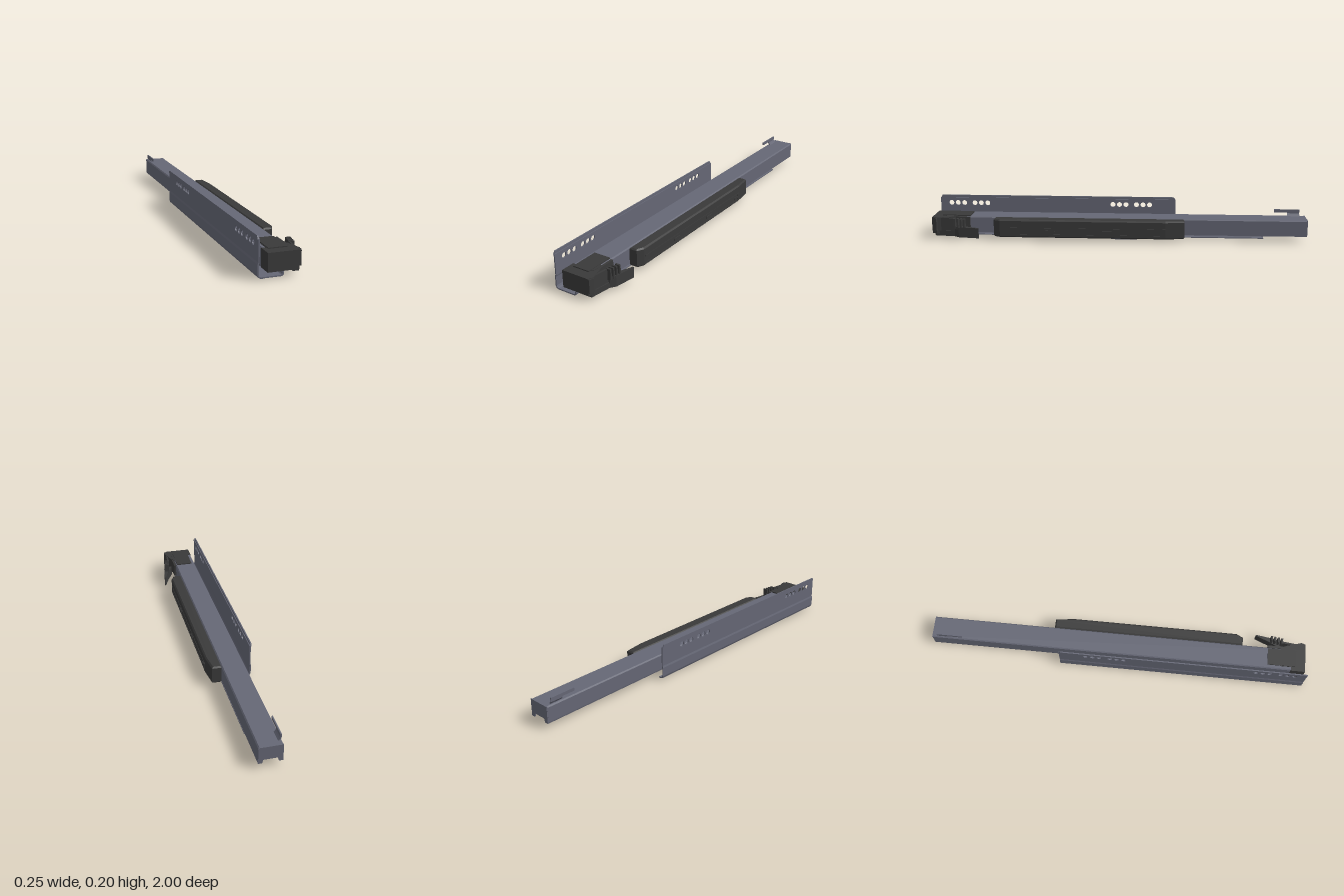
import * as THREE from 'three';

const steel = new THREE.MeshStandardMaterial({ color: 0x656775, side: THREE.DoubleSide });
const plastic = new THREE.MeshStandardMaterial({ color: 0x3a3a3a, flatShading: true });

const shapeOf = (pts) => new THREE.Shape(pts.map(([x, y]) => new THREE.Vector2(x, y)));

// Thickens an open polyline into a closed sheet-metal section (mitred corners)
function sheetSection(pts, t) {
  const v = pts.map(([x, y]) => new THREE.Vector2(x, y));
  const normal = (a, b) => new THREE.Vector2(a.y - b.y, b.x - a.x).normalize();
  const left = [], right = [];
  v.forEach((p, i) => {
    const n0 = normal(v[Math.max(i - 1, 0)], v[Math.max(i, 1)]);
    const n1 = normal(v[Math.min(i, v.length - 2)], v[Math.min(i + 1, v.length - 1)]);
    const m = n0.clone().add(n1).normalize();
    m.multiplyScalar(t / 2 / m.dot(n1));
    left.push(p.clone().add(m));
    right.unshift(p.clone().sub(m));
  });
  return new THREE.Shape([...left, ...right]);
}

function createModel() {
  const root = new THREE.Group();
  root.name = 'drawerRunner';

  const add = (name, geo, mat, parent = root) => {
    const mesh = new THREE.Mesh(geo, mat);
    mesh.name = name;
    parent.add(mesh);
    return mesh;
  };
  const group = (name) => {
    const g = new THREE.Group();
    g.name = name;
    root.add(g);
    return g;
  };
  // Box given by its limits
  const box = (name, [x0, x1], [y0, y1], [z0, z1], mat, parent) =>
    add(name, new THREE.BoxGeometry(x1 - x0, y1 - y0, z1 - z0)
      .translate((x0 + x1) / 2, (y0 + y1) / 2, (z0 + z1) / 2), mat, parent);
  // Section in x,y run along z
  const along = (name, shape, z0, z1, mat, parent) =>
    add(name, new THREE.ExtrudeGeometry(shape, { depth: z1 - z0, bevelEnabled: false })
      .translate(0, 0, z0), mat, parent);
  // Plan outline in x,z raised from y0 to y1
  const plan = (name, pts, y0, y1, mat, parent, bevel = 0) => {
    const geo = new THREE.ExtrudeGeometry(shapeOf(pts.map(([x, z]) => [x, -z])), {
      depth: y1 - y0 - 2 * bevel, bevelEnabled: bevel > 0, bevelSegments: 1,
      bevelSize: bevel, bevelThickness: bevel, bevelOffset: -bevel,
    });
    return add(name, geo.rotateX(-Math.PI / 2).translate(0, y0 + bevel, 0), mat, parent);
  };
  // Side outline in z,y with thickness from x0 to x1
  const side = (name, shape, x0, x1, mat, parent) =>
    add(name, new THREE.ExtrudeGeometry(shape, { depth: x1 - x0, bevelEnabled: false, curveSegments: 8 })
      .rotateY(-Math.PI / 2).scale(1, 1, 1).translate(x1, 0, 0), mat, parent);

  // Cabinet rail: bent foot, perforated wall and joggled top edge
  const cabinet = group('cabinetRail');
  const corner = [[-0.119, 0.08], [-0.122, 0.07], [-0.122, 0.024], [-0.118, 0.014], [-0.108, 0.01]];
  along('railFoot', sheetSection([...corner, [-0.012, 0.01], [-0.006, 0.015], [-0.005, 0.027]], 0.006),
    -0.22, 1, steel, cabinet);
  along('railFootEnd', sheetSection([...corner, [-0.096, 0.01]], 0.006), -0.305, -0.22, steel, cabinet);
  const wall = shapeOf([[-0.305, 0.078], [1, 0.078], [1, 0.185], [-0.305, 0.185]]);
  for (const start of [0.94, 0.81, 0.04, -0.09]) {
    for (let i = 0; i < 3; i++) {
      wall.holes.push(new THREE.Path().absarc(start - i * 0.036, 0.155, 0.014, 0, Math.PI * 2, true));
    }
  }
  side('railWall', wall, -0.122, -0.116, steel, cabinet);
  side('railTopEdge', shapeOf([[-0.305, 0.182], [1, 0.182], [0.99, 0.198], [-0.295, 0.198]]),
    -0.126, -0.12, steel, cabinet);
  box('railStud', [-0.105, -0.089], [0, 0.009], [0.96, 0.985], steel, cabinet);

  // Retaining plate hooked below the rails
  const retainer = group('retainingPlate');
  plan('retainerPlate', [[-0.046, 0], [-0.02, 0.04], [0.048, 0.04], [0.048, -0.1], [-0.02, -0.1], [-0.046, -0.06]],
    0.003, 0.007, steel, retainer);
  along('retainerHook', sheetSection([[0.045, 0.005], [0.051, 0.008], [0.055, 0.014], [0.055, 0.02]], 0.004),
    -0.1, 0.04, steel, retainer);

  // Middle rail nested in the drawer rail
  along('middleRail', sheetSection([[-0.045, 0.04], [-0.045, 0.098], [0.02, 0.098], [0.02, 0.026], [0.024, 0.018], [0.04, 0.018]], 0.005),
    -0.77, 0.95, steel);

  // Drawer rail: inverted channel with a closed rear end
  const drawer = group('drawerRail');
  along('drawerChannel', sheetSection([[-0.058, 0.031], [-0.072, 0.031], [-0.073, 0.036], [-0.073, 0.11],
    [-0.069, 0.1145], [0.035, 0.1145], [0.039, 0.11], [0.039, 0.03]], 0.005), -0.995, 0.98, steel, drawer);
  along('rearEnd', shapeOf([[-0.075, 0.029], [-0.055, 0.029], [-0.05, 0.048], [0.018, 0.048], [0.022, 0.029],
    [0.041, 0.029], [0.041, 0.117], [-0.075, 0.117]]), -1, -0.994, steel, drawer);

  // Rear hook standing on the drawer rail
  const hook = group('rearHook');
  along('hookStem', sheetSection([[-0.058, 0.115], [-0.064, 0.122], [-0.07, 0.13], [-0.07, 0.137]], 0.005),
    -0.97, -0.905, steel, hook);
  box('hookBar', [-0.073, -0.067], [0.135, 0.151], [-0.97, -0.835], steel, hook);

  // Damper housing along the outer side
  const housing = group('damperHousing');
  plan('housingBody', [[0.041, 0.665], [0.085, 0.665], [0.103, 0.63], [0.103, -0.25], [0.09, -0.35], [0.041, -0.35]],
    0.02, 0.117, plastic, housing, 0.007);
  box('housingRib', [0.1, 0.105], [0.068, 0.074], [-0.24, 0.62], plastic, housing);
  box('housingLowerRib', [0.1, 0.105], [0.034, 0.039], [-0.24, 0.62], plastic, housing);
  for (const z of [0.36, 0.06, -0.22]) {
    box('housingCatch', [0.1, 0.107], [0.048, 0.06], [z - 0.025, z + 0.025], plastic, housing);
  }
  box('catchPost', [0.1, 0.107], [0.035, 0.075], [-0.25, -0.235], plastic, housing);

  // Front coupling block
  const coupling = group('frontCoupling');
  box('couplingBlock', [-0.078, 0.05], [0.03, 0.118], [0.925, 1], plastic, coupling);
  plan('couplingNose', [[0.045, 1], [0.07, 1], [0.082, 0.975], [0.06, 0.9], [0.045, 0.87]],
    0.03, 0.118, plastic, coupling);
  box('couplingSleeve', [-0.058, 0.047], [0.1, 0.12], [0.87, 0.93], plastic, coupling);
  box('couplingTongue', [-0.056, 0.034], [0.112, 0.123], [0.8, 0.95], plastic, coupling);
  box('couplingSide', [0.04, 0.053], [0.045, 0.117], [0.8, 0.93], plastic, coupling);
  box('couplingUnderside', [-0.05, 0], [0.022, 0.032], [0.85, 0.98], plastic, coupling);

  // Release lever: slim arm, finger grip and ribs
  const lever = group('releaseLever');
  plan('leverArm', [[0.06, 1], [0.078, 1], [0.086, 0.975], [0.074, 0.965], [0.084, 0.87], [0.074, 0.87], [0.064, 0.965]],
    0.045, 0.115, plastic, lever);
  plan('leverGrip', [[0.056, 0.875], [0.09, 0.875], [0.108, 0.85], [0.124, 0.74], [0.118, 0.74], [0.09, 0.81]],
    0.018, 0.073, plastic, lever);
  plan('leverBase', [[0.045, 0.985], [0.075, 0.985], [0.09, 0.87], [0.06, 0.87]], 0.018, 0.046, plastic, lever);
  for (let i = 0; i < 4; i++) {
    const z = 0.875 - i * 0.018;
    box('gripRib', [0.072 + i * 0.004, 0.1 + i * 0.003], [0.06, 0.117], [z - 0.005, z + 0.005], plastic, lever);
  }

  return root;
}

export { createModel };
